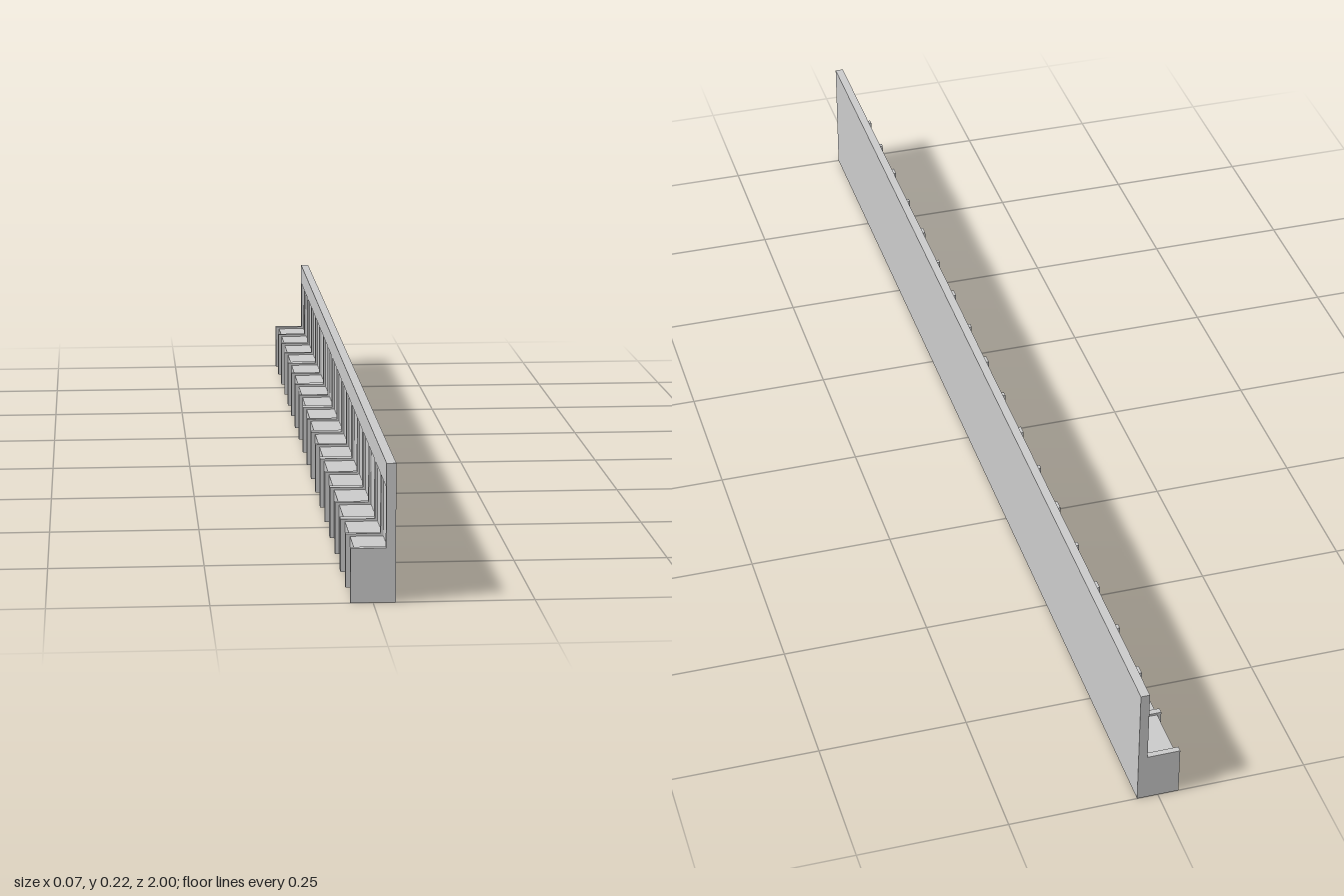
import * as THREE from 'three';

const material = new THREE.MeshStandardMaterial({ color: 0xcccccc, flatShading: true });

// Extrude an x/y profile along z, centred on the given z
function profileMesh(name, points, depth, z) {
  const shape = new THREE.Shape(points.map(([x, y]) => new THREE.Vector2(x, y)));
  const geometry = new THREE.ExtrudeGeometry(shape, { depth, bevelEnabled: false });
  geometry.translate(0, 0, -depth / 2);
  const mesh = new THREE.Mesh(geometry, material);
  mesh.name = name;
  mesh.position.z = z;
  return mesh;
}

export function createModel() {
  const group = new THREE.Group();
  group.name = 'wallBench';

  // Plain back wall, recessed panels, top rail and low ledge
  group.add(profileMesh('wallAndLedge', [
    [-0.028, 0], [0.035, 0], [0.035, 0.218], [0.02, 0.218],
    [0.02, 0.18], [0.024, 0.18], [0.024, 0.082], [-0.028, 0.082],
  ], 2, 0));

  // Stepped ribs that divide the wall and ledge, alternately narrow and wide
  const rib = [
    [-0.035, 0], [0.03, 0], [0.03, 0.18], [0.02, 0.18], [0.02, 0.086], [-0.035, 0.086],
  ];
  const ribs = new THREE.Group();
  ribs.name = 'ribs';
  for (let k = -9; k <= 9; k++) {
    const end = Math.abs(k) === 9;
    const width = end ? 0.01 : k % 2 ? 0.018 : 0.01;
    const z = end ? Math.sign(k) * 0.995 : Math.abs(k) === 8 ? Math.sign(k) * 0.9 : k * 0.1137;
    ribs.add(profileMesh('rib', rib, width, z));
  }
  group.add(ribs);
  return group;
}
